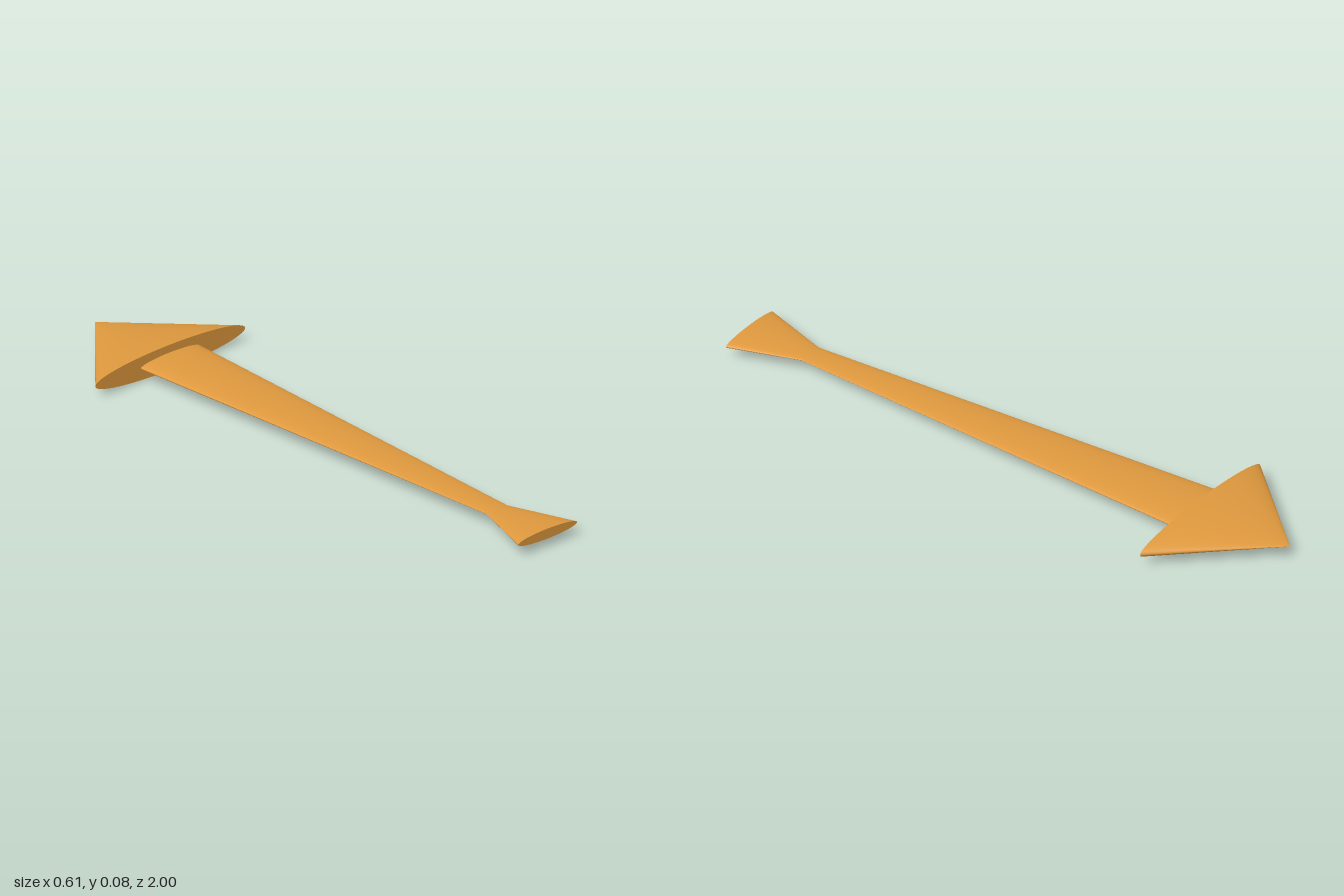
import * as THREE from 'three';

const FLATTEN = 0.1376; // height of the oval section relative to its width
const HEAD_RADIUS = 0.303;
const SEGMENTS = 64;

export function createModel() {
  const arrow = new THREE.Group();
  arrow.name = 'arrow';
  const material = new THREE.MeshStandardMaterial({ color: 0xdf993e });

  // Tapered oval section along z, from the back (-z) end to the front (+z) end
  function taper(name, backZ, backRadius, frontZ, frontRadius) {
    const length = frontZ - backZ;
    const geometry = new THREE.CylinderGeometry(backRadius, frontRadius, length, SEGMENTS);
    geometry.rotateX(-Math.PI / 2);
    geometry.scale(1, FLATTEN, 1);
    const mesh = new THREE.Mesh(geometry, material);
    mesh.name = name;
    mesh.position.set(0, HEAD_RADIUS * FLATTEN, (backZ + frontZ) / 2);
    arrow.add(mesh);
  }

  // Pointed head, narrowing shaft and flared tail
  taper('head', -1, 0, -0.667, HEAD_RADIUS);
  taper('shaft', -0.667, 0.119, 0.775, 0.043);
  taper('tail', 0.775, 0.043, 1, 0.119);

  return arrow;
}
